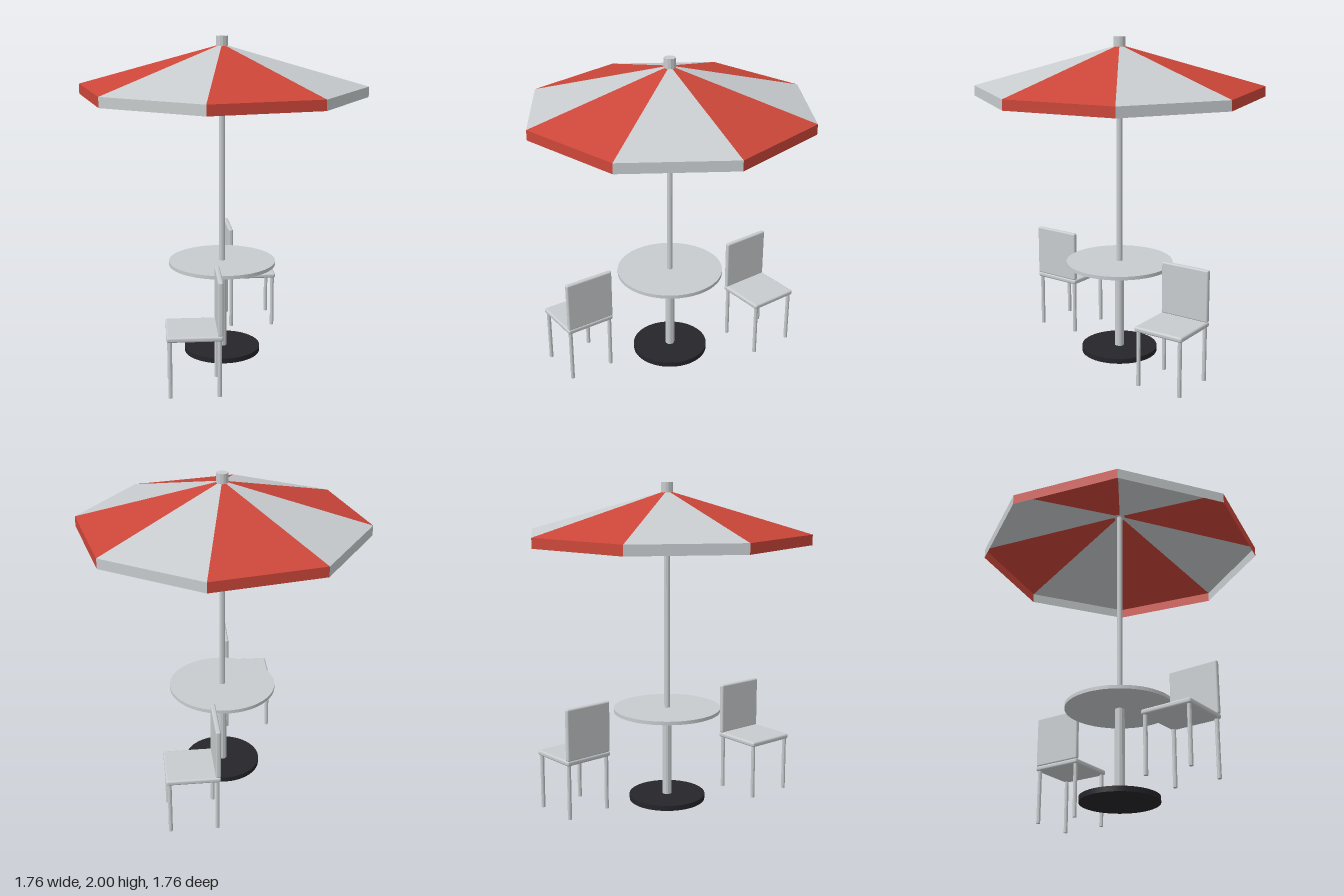
import * as THREE from 'three';
import { RoundedBoxGeometry } from 'three/addons/geometries/RoundedBoxGeometry.js';

const named = (name, color) => {
  const m = new THREE.MeshStandardMaterial({ color, side: THREE.DoubleSide });
  m.name = name;
  return m;
};

export function createModel() {
  const grey = named('light grey', 0xc8ccce);
  const red = named('canopy red', 0xcc4639);
  const black = named('base black', 0x25252a);
  const root = new THREE.Group();
  root.name = 'patioSet';

  const add = (parent, name, geometry, material, x = 0, y = 0, z = 0) => {
    const mesh = new THREE.Mesh(geometry, material);
    mesh.name = name;
    mesh.position.set(x, y, z);
    parent.add(mesh);
    return mesh;
  };

  // Upright cylinder from y0 to y1, with flat facets when it has few sides
  const rod = (parent, name, r, y0, y1, sides, material, x = 0, z = 0) => {
    let g = new THREE.CylinderGeometry(r, r, y1 - y0, sides);
    if (sides < 20) {
      g = g.toNonIndexed();
      g.computeVertexNormals();
    }
    return add(parent, name, g, material, x, (y0 + y1) / 2, z);
  };

  // Central stand and table
  rod(root, 'base', 0.24, 0, 0.032, 48, black);
  rod(root, 'tablePost', 0.03, 0.03, 0.58, 12, grey);
  rod(root, 'tableTop', 0.335, 0.578, 0.6, 48, grey);
  rod(root, 'umbrellaPole', 0.018, 0.59, 1.95, 12, grey);
  rod(root, 'poleCap', 0.036, 1.94, 2, 12, grey);

  // Eight-panel canopy, each panel a sloping triangle with a hanging skirt
  const canopy = new THREE.Group();
  canopy.name = 'canopy';
  root.add(canopy);
  const rim = (i, y) => {
    const a = (i * Math.PI) / 4;
    return [0.882 * Math.cos(a), y, 0.882 * Math.sin(a)];
  };
  const apex = [0, 1.951, 0], top = 1.704, low = 1.642;
  for (let i = 0; i < 8; i++) {
    const a = rim(i, top), b = rim(i + 1, top);
    const c = rim(i, low), d = rim(i + 1, low);
    const g = new THREE.BufferGeometry();
    const corners = [apex, b, a, a, b, d, a, d, c].flat();
    g.setAttribute('position', new THREE.Float32BufferAttribute(corners, 3));
    g.computeVertexNormals();
    add(canopy, 'canopyPanel' + (i + 1), g, i % 2 ? grey : red);
  }

  // Chair with its backrest on local +x
  const chair = (name, x, z, angle) => {
    const group = new THREE.Group();
    group.name = name;
    group.position.set(x, 0, z);
    group.rotation.y = angle;
    root.add(group);
    add(group, 'seat', new RoundedBoxGeometry(0.322, 0.032, 0.322, 2, 0.012), grey, 0, 0.355, 0);
    add(group, 'backrest', new RoundedBoxGeometry(0.03, 0.322, 0.318, 2, 0.01), grey, 0.146, 0.529, 0);
    for (const sx of [-1, 1])
      for (const sz of [-1, 1])
        rod(group, 'chairLeg', 0.0125, 0, 0.345, 10, grey, sx * 0.141, sz * 0.141);
  };
  chair('rightChair', -0.497, 0.342, -THREE.MathUtils.degToRad(35.5));
  chair('leftChair', 0.509, -0.32, Math.PI - THREE.MathUtils.degToRad(33.5));

  return root;
}
